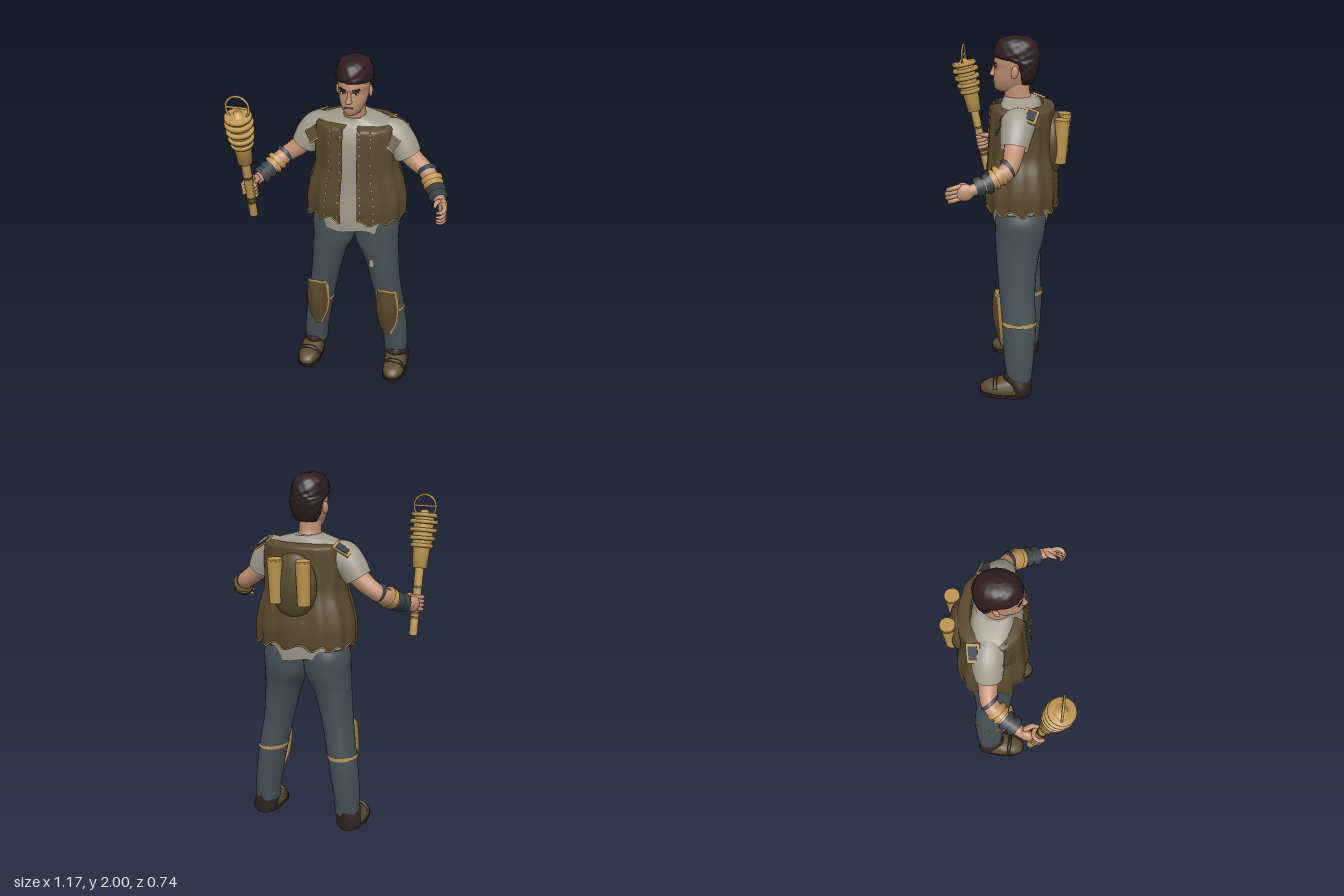
import * as THREE from 'three';

const mat = (name, color, side = THREE.FrontSide) => Object.assign(new THREE.MeshStandardMaterial({ color, side }), { name });
const CX = 0.015; // the body's own centre line

// Smooth value of a table of rows at t in 0..1
function rowAt(rows, t) {
  const f = t * (rows.length - 1), i = Math.min(Math.floor(f), rows.length - 2), u = f - i;
  const r = k => rows[Math.max(0, Math.min(rows.length - 1, k))];
  return rows[i].map((b, k) => {
    const a = r(i - 1)[k], c = r(i + 1)[k], d = r(i + 2)[k];
    return b + 0.5 * u * (c - a + u * (2 * a - 5 * b + 4 * c - d + u * (3 * (b - c) + d - a)));
  });
}

// Point on a body whose rows are [y, zFront, zBack, halfWidth, centreX]; angle 0 faces front
function surfacePoint(rows, th, t, e = 1, warp = null) {
  const [y, zf, zb, hw, cx] = rowAt(rows, t);
  const k = warp ? warp(th, t) : 1, pw = v => Math.sign(v) * Math.abs(v) ** e;
  return new THREE.Vector3(cx + hw * k * pw(Math.sin(th)), y, (zf + zb) / 2 + (zf - zb) / 2 * k * pw(Math.cos(th)));
}

// Skin the rows, bottom to top; gap leaves an opening at the front
function loft(rows, { n = 32, m = rows.length * 3, e = 1, gap = 0, warp = null, hem = null, caps = true } = {}) {
  const pos = [], idx = [], cols = gap ? n + 1 : n;
  for (let j = 0; j <= m; j++) for (let i = 0; i < cols; i++) {
    const th = gap + i / n * (2 * Math.PI - 2 * gap);
    const p = surfacePoint(rows, th, j / m, e, warp);
    if (hem) p.y += hem(th) * Math.max(0, 1 - j / m * 5);
    pos.push(p.x, p.y, p.z);
  }
  for (let j = 0; j < m; j++) for (let i = 0; i < n; i++) {
    const a = j * cols + i, b = j * cols + (i + 1) % cols;
    idx.push(a, b, b + cols, a, b + cols, a + cols);
  }
  if (caps && !gap) for (const j of [0, m]) {
    const base = pos.length / 3, r = rows[j ? rows.length - 1 : 0];
    for (let i = 0; i < n; i++) pos.push(...pos.slice((j * n + i) * 3, (j * n + i) * 3 + 3));
    pos.push(r[4], r[0], (r[1] + r[2]) / 2);
    for (let i = 0; i < n; i++) {
      const a = base + i, b = base + (i + 1) % n;
      j ? idx.push(a, b, base + n) : idx.push(b, a, base + n);
    }
  }
  const g = new THREE.BufferGeometry();
  g.setAttribute('position', new THREE.Float32BufferAttribute(pos, 3));
  g.setIndex(idx);
  g.computeVertexNormals();
  return g;
}

// Tube whose radius follows a list
function limb(points, radii, n = 16, sides = 14) {
  const curve = new THREE.CatmullRomCurve3(points.map(p => new THREE.Vector3(...p)));
  const g = new THREE.TubeGeometry(curve, n, 1, sides), P = g.attributes.position, v = new THREE.Vector3();
  for (let i = 0; i < P.count; i++) {
    const t = Math.floor(i / (sides + 1)) / n, c = curve.getPointAt(t);
    v.fromBufferAttribute(P, i).sub(c).multiplyScalar(rowAt(radii.map(r => [r]), t)[0]).add(c);
    P.setXYZ(i, v.x, v.y, v.z);
  }
  return g;
}

export function createModel() {
  const model = new THREE.Group();
  const D = THREE.DoubleSide;
  const skin = mat('skin', 0xc09072), hairMat = mat('dark hair', 0x2f1d20), cloth = mat('grey shirt', 0xa09a8c, D);
  const denim = mat('slate trousers', 0x465257), leather = mat('brown leather', 0x5a4a2e, D), gold = mat('brass', 0xbd9650, D);
  const dark = mat('dark wraps', 0x394147), sole = mat('dark sole', 0x30211f), white = mat('eye white', 0xd8cfc4), lipMat = mat('lips', 0x9c6552);
  const add = (name, g, m, p = [0, 0, 0], r = [0, 0, 0], s = [1, 1, 1], parent = model) => {
    const o = new THREE.Mesh(g, m);
    o.name = name; o.position.set(...p); o.rotation.set(...r); o.scale.set(...s);
    parent.add(o);
    return o;
  };
  const box = (x, y, z) => new THREE.BoxGeometry(x, y, z), ball = new THREE.SphereGeometry(1, 20, 14);

  // Head and neck
  const HX = 0.012;
  const head = [[1.7, 0.025, -0.12, 0.03], [1.715, 0.046, -0.13, 0.048], [1.755, 0.054, -0.15, 0.068], [1.79, 0.052, -0.165, 0.077],
    [1.83, 0.046, -0.17, 0.082], [1.86, 0.052, -0.17, 0.085], [1.91, 0.038, -0.165, 0.084], [1.96, 0, -0.13, 0.06]].map(r => [...r, HX]);
  add('head', loft(head), skin);
  add('neck', loft([[1.6, -0.005, -0.18, 0.075, HX], [1.65, -0.01, -0.165, 0.063, HX], [1.69, -0.005, -0.145, 0.06, HX], [1.76, 0, -0.14, 0.058, HX]]), skin);
  add('nose', loft([[1.78, 0.058, 0.02, 0.013, HX], [1.788, 0.075, 0.02, 0.019, HX], [1.81, 0.068, 0.02, 0.011, HX], [1.85, 0.052, 0.02, 0.009, HX]], { n: 14 }), skin);
  const headT = y => { let t = 0; while (t < 1 && rowAt(head, t)[0] < y) t += 0.002; return t; };
  const face = (name, x, y, w, h, m, lift, roll = 0) => {
    const t = headT(y), th = Math.asin(x / rowAt(head, t)[3]), p = surfacePoint(head, th, t);
    add(name, box(w, h, 0.008), m, [p.x, p.y, p.z + lift], [0, th * 0.75, roll]);
  };
  for (const s of [1, -1]) {
    face('eyeWhite', s * 0.035, 1.832, 0.026, 0.01, white, 0);
    face('iris', s * 0.034, 1.832, 0.01, 0.01, hairMat, 0.002);
    face('eyelid', s * 0.035, 1.839, 0.032, 0.005, hairMat, 0.002, s * 0.1);
    face('eyebrow', s * 0.037, 1.853, 0.042, 0.008, hairMat, 0.001, s * 0.18);
    add('ear', ball, skin, [HX + s * 0.088, 1.815, -0.07], [-0.15, s * 0.35, 0], [0.01, 0.034, 0.02]);
  }
  face('mouth', 0, 1.756, 0.046, 0.008, lipMat, 0);
  const hair = [[1.745, -0.09, -0.155, 0.055], [1.78, -0.08, -0.175, 0.08], [1.83, -0.065, -0.19, 0.09], [1.865, -0.03, -0.195, 0.096],
    [1.885, 0.045, -0.198, 0.098], [1.92, 0.052, -0.195, 0.098], [1.965, 0.035, -0.175, 0.084], [1.99, 0, -0.14, 0.055], [2, -0.04, -0.1, 0.015]].map(r => [...r, HX]);
  add('hair', loft(hair, { n: 56, m: 40, warp: (a, t) => 1 + 0.018 * Math.sin(a * 13 + t * 30) + 0.012 * Math.sin(a * 7 - t * 47) }), hairMat);

  // Shirt
  const shirt = [[1, 0.055, -0.255, 0.228], [1.1, 0.06, -0.26, 0.22], [1.25, 0.05, -0.24, 0.2], [1.42, 0.055, -0.23, 0.2],
    [1.54, 0.05, -0.22, 0.225], [1.615, 0.025, -0.21, 0.225], [1.65, 0.005, -0.2, 0.165], [1.675, -0.002, -0.185, 0.075]].map(r => [...r, CX]);
  add('shirt', loft(shirt, { n: 48, e: 0.85, hem: a => 0.012 * Math.sin(a * 6) }), cloth);

  // Open vest with folds, wavy hem and stitches
  const vest = [[1.085, 0.09, -0.3, 0.278], [1.18, 0.098, -0.305, 0.28], [1.28, 0.088, -0.295, 0.262], [1.38, 0.08, -0.28, 0.232],
    [1.5, 0.075, -0.275, 0.232], [1.6, 0.068, -0.28, 0.226], [1.63, 0.055, -0.27, 0.215], [1.64, 0.01, -0.215, 0.17]].map(r => [...r, CX + 0.005]);
  const fold = (a, t) => 1 + 0.03 * Math.cos(a * 12) * (1 - 0.75 * t);
  const wave = a => 0.016 * Math.sin(a * 14);
  add('vest', loft(vest, { n: 96, m: 32, e: 0.8, gap: 0.11, warp: fold, hem: wave }), leather);
  const hemPts = [];
  for (let i = 0; i <= 90; i++) {
    const a = 0.11 + i / 90 * (2 * Math.PI - 0.22), p = surfacePoint(vest, a, 0, 0.8, fold);
    p.y += wave(a);
    hemPts.push(p);
  }
  add('vestHemTrim', new THREE.TubeGeometry(new THREE.CatmullRomCurve3(hemPts), 180, 0.005, 5), gold);
  for (const s of [1, -1]) for (const a of [0.16, 0.42]) for (let i = 0; i < 13; i++) {
    const p = surfacePoint(vest, s * a, 0.05 + i * 0.065, 0.8, fold);
    add('stitch', box(0.006, 0.014, 0.008), gold, [p.x, p.y, p.z + 0.001], [0, s * a * 0.6, 0]);
  }

  // Back pack with two canisters
  add('backPack', ball, leather, [CX, 1.42, -0.275], [0, 0, 0], [0.135, 0.18, 0.062]);
  for (const x of [-0.065, 0.1]) {
    add('canister', new THREE.CylinderGeometry(0.041, 0.035, 0.24, 20), gold, [x, 1.45, -0.322], [-0.05, 0, 0]);
    add('canisterBand', new THREE.CylinderGeometry(0.043, 0.043, 0.012, 20), gold, [x, 1.555, -0.327], [-0.05, 0, 0]);
  }

  for (const s of [1, -1]) {
    const X = x => CX + s * x, at = pts => pts.map(([x, y, z]) => [X(x), y, z]);
    const side = rows => rows.map(([y, a, b, w, c]) => [y, a, b, w, X(c)]);

    // Sleeve, arm and shoulder patches
    add('sleeve', limb(at([[0.13, 1.59, -0.1], [0.21, 1.56, -0.1], [0.26, 1.51, -0.095], [0.293, 1.455, -0.09]]), [0.06, 0.092, 0.086, 0.076], 16, 20), cloth);
    add('arm', limb(at([[0.25, 1.51, -0.095], [0.33, 1.43, -0.09], [0.41, 1.37, -0.07], [0.46, 1.33, 0], [0.5, 1.3, 0.07], [0.525, 1.29, 0.12]]), [0.06, 0.055, 0.048, 0.045, 0.035, 0.03], 24), skin);
    add('shoulderFlap', box(0.12, 0.07, 0.009), leather, [X(0.2), 1.575, -0.003], [-0.35, s * 0.25, -s * 0.6]);
    add('shoulderFlapEdge', box(0.12, 0.009, 0.011), gold, [X(0.183), 1.545, 0.01], [-0.35, s * 0.25, -s * 0.6]);
    add('shoulderPatch', box(0.1, 0.009, 0.075), gold, [X(0.235), 1.618, -0.17], [-0.35, 0, -s * 0.55]);
    add('shoulderPatchInset', box(0.07, 0.012, 0.05), dark, [X(0.236), 1.62, -0.171], [-0.35, 0, -s * 0.55]);

    // Wrist wraps and bangles
    const band = (name, a, b, r, m) => add(name, limb(at([a, b]), [r * 0.7, r, r, r, r * 0.7], 12, 18), m);
    band('darkBangle', [0.4, 1.385, -0.078], [0.413, 1.375, -0.06], 0.055, dark);
    band('brassBangle', [0.433, 1.36, -0.042], [0.446, 1.345, -0.022], 0.059, gold);
    band('brassBangle', [0.45, 1.34, -0.014], [0.459, 1.332, 0.002], 0.056, gold);
    band('wristWrap', [0.466, 1.325, 0.008], [0.484, 1.313, 0.042], 0.054, dark);
    band('wristCuff', [0.483, 1.312, 0.046], [0.506, 1.3, 0.088], 0.052, dark);

    // Trouser leg
    const leg = side([[0.085, -0.05, -0.19, 0.068, 0.256], [0.2, -0.035, -0.2, 0.073, 0.25], [0.4, -0.018, -0.21, 0.079, 0.222], [0.6, 0.003, -0.2, 0.084, 0.187],
      [0.8, 0.022, -0.215, 0.102, 0.153], [0.9, 0.03, -0.24, 0.125, 0.126], [1, 0.032, -0.25, 0.13, 0.122], [1.06, 0.03, -0.24, 0.12, 0.115]]);
    add('trouserLeg', loft(leg, { e: 0.92, warp: (a, t) => 1 + 0.012 * Math.sin(a * 3 + t * 40) * (1 - t) }), denim);

    // Knee pad: brass backing shows as an edge around the leather
    const pad = (name, m, grow, lift) => {
      const g = new THREE.PlaneGeometry(1, 1, 10, 10), P = g.attributes.position;
      for (let i = 0; i < P.count; i++) {
        const t = P.getY(i) + 0.5, w = rowAt([[0.018], [0.05], [0.063], [0.062], [0.052]], t)[0] + grow;
        const dx = P.getX(i) * 2 * w, y = 0.27 - grow + t * (0.32 + 2 * grow) + 0.02 * t * (1 - Math.abs(dx) / w);
        P.setXYZ(i, X(0.218 - 0.008 * t + dx), y, rowAt([[-0.018], [0.006], [0.027], [0.032], [0.026]], t)[0] - dx * dx * 11 + lift);
      }
      g.computeVertexNormals();
      add(name, g, m);
    };
    pad('kneePadTrim', gold, 0.008, 0);
    pad('kneePad', leather, 0, 0.007);
    add('kneeStrap', loft(side([[0.425, -0.008, -0.216, 0.086, 0.22], [0.445, -0.008, -0.216, 0.086, 0.217]]), { m: 2, caps: false }), gold);

    // Shoe
    add('sole', loft(side([[0, 0.1, -0.185, 0.07, 0.27], [0.022, 0.105, -0.19, 0.072, 0.27]]), { m: 2, e: 0.8 }), sole);
    add('shoe', loft(side([[0.02, 0.1, -0.185, 0.068, 0.27], [0.045, 0.1, -0.185, 0.068, 0.27], [0.07, 0.07, -0.18, 0.062, 0.268], [0.085, 0.015, -0.18, 0.058, 0.265], [0.1, -0.03, -0.18, 0.052, 0.262]]), { e: 0.85 }), leather);
    add('shoeHeel', loft(side([[0.02, -0.07, -0.192, 0.071, 0.27], [0.06, -0.06, -0.192, 0.07, 0.268], [0.1, -0.03, -0.192, 0.066, 0.262], [0.135, -0.04, -0.188, 0.06, 0.258]])), sole);
    add('shoeStrap', limb(at([[0.205, 0.05, 0.01], [0.235, 0.088, 0.012], [0.27, 0.096, 0.014], [0.305, 0.088, 0.012], [0.335, 0.05, 0.01]]), [0.011, 0.011], 16, 8), sole);

    // Hand
    add('palm', ball, skin, [X(0.532), 1.285, 0.135], [0.15, s * 0.2, 0], [0.026, 0.045, 0.05]);
    if (s > 0) {
      for (let i = 0; i < 4; i++) {
        const y = 1.318 - i * 0.021, l = [0.9, 1, 0.95, 0.8][i];
        add('finger', limb(at([[0.535, y, 0.155], [0.55, y - 0.008, 0.155 + 0.04 * l], [0.54, y - 0.02, 0.155 + 0.072 * l], [0.512, y - 0.026, 0.155 + 0.07 * l]]), [0.014, 0.013, 0.012, 0.006], 12, 8), skin);
      }
      add('thumb', limb(at([[0.525, 1.31, 0.12], [0.5, 1.315, 0.15], [0.495, 1.3, 0.185]]), [0.016, 0.014, 0.007], 10, 8), skin);
    }
  }

  // Staff in the right hand, leaning forward
  const staff = new THREE.Group();
  staff.name = 'staff';
  staff.position.set(-0.51, 1.1, 0.16);
  staff.rotation.x = 0.207;
  model.add(staff);
  const lathe = pts => new THREE.LatheGeometry(pts.map(p => new THREE.Vector2(...p)), 28);
  add('staffHandle', new THREE.CylinderGeometry(0.025, 0.023, 0.4, 18), gold, [0, 0.2, 0], [0, 0, 0], [1, 1, 1], staff);
  add('staffCup', lathe([[0, 0.375], [0.04, 0.375], [0.047, 0.48], [0.056, 0.5], [0.056, 0.66], [0.05, 0.675], [0.025, 0.68], [0.02, 0.695], [0, 0.7]]), gold, undefined, undefined, undefined, staff);
  [[0.5, 0.06], [0.54, 0.068], [0.585, 0.073], [0.63, 0.075], [0.667, 0.07]].forEach(([y, r]) =>
    add('staffRing', lathe([[0.04, y - 0.012], [r, y - 0.011], [r + 0.003, y], [r, y + 0.011], [0.04, y + 0.012]]), gold, undefined, undefined, undefined, staff));
  for (const y of [0.1, 0.125, 0.27]) add('gripWrap', new THREE.CylinderGeometry(0.029, 0.029, 0.014, 18), leather, [0, y, 0], [0, 0, 0], [1, 1, 1], staff);
  for (let i = 0; i < 4; i++)
    add('grippingFinger', new THREE.TorusGeometry(0.034, 0.012, 8, 16, 4.4), skin, [0, 0.15 + i * 0.022, 0], [Math.PI / 2, 0, 2.4], [1, 1, 1], staff);
  add('grippingThumb', limb([[-0.5, 1.315, 0.12], [-0.475, 1.325, 0.16], [-0.478, 1.325, 0.205]], [0.017, 0.015, 0.008], 10, 8), skin);
  add('staffLoop', new THREE.TorusGeometry(0.063, 0.006, 8, 36), gold, [-0.51, 1.803, 0.3]);
  add('staffLoopBar', new THREE.CylinderGeometry(0.006, 0.006, 0.126, 8), gold, [-0.51, 1.805, 0.3], [0, 0, Math.PI / 2]);

  // Trouser patch
  add('trouserPatch', box(0.026, 0.05, 0.008), cloth, [0.138, 0.785, 0.018], [-0.08, 0, 0.1]);
  return model;
}
